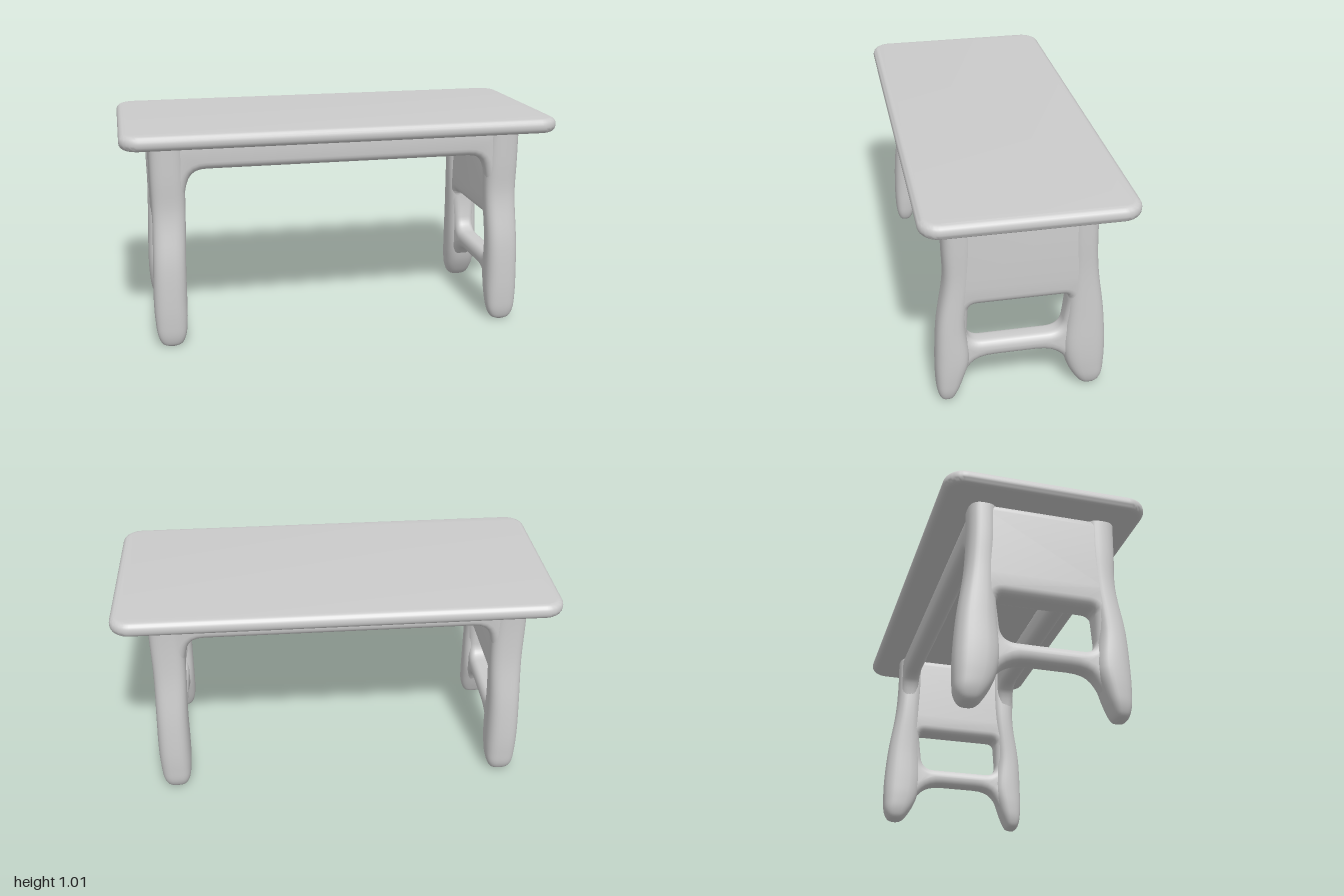
import * as THREE from 'three';
import { toCreasedNormals } from 'three/addons/utils/BufferGeometryUtils.js';

const material = new THREE.MeshStandardMaterial({ color: 0xcccccc });

function part(name, geometry) {
  const mesh = new THREE.Mesh(geometry, material);
  mesh.name = name;
  return mesh;
}

// Rounded slab: outline extruded to a full thickness, centred on z = 0
function slab(shape, thickness, bevel, curveSegments = 8) {
  const g = new THREE.ExtrudeGeometry(shape, {
    depth: thickness - 2 * bevel, bevelThickness: bevel, bevelSize: bevel,
    bevelOffset: -bevel, bevelSegments: 5, curveSegments,
  });
  return g.translate(0, 0, bevel - thickness / 2);
}

function roundedRect(w, h, r, Type = THREE.Shape, cx = 0, cy = 0) {
  const s = new Type(), x = w / 2, y = h / 2;
  s.absarc(cx + x - r, cy + y - r, r, 0, Math.PI / 2);
  s.absarc(cx - x + r, cy + y - r, r, Math.PI / 2, Math.PI);
  s.absarc(cx - x + r, cy - y + r, r, Math.PI, Math.PI * 1.5);
  s.absarc(cx + x - r, cy - y + r, r, Math.PI * 1.5, Math.PI * 2);
  s.closePath();
  return s;
}

// Leg lofted through rounded sections: [y, zOuter, zInner, x, halfWidth]
function legGeometry(rows) {
  const curve = (k) => new THREE.CatmullRomCurve3(
    rows.map((r) => new THREE.Vector3(r[0], r[k], r[k + 1])), false, 'centripetal');
  const depth = curve(1), width = curve(3);
  const steps = 40, sides = 32, pos = [], index = [];
  const pow = (v) => Math.sign(v) * Math.abs(v) ** 0.72;
  for (let i = 0; i <= steps; i++) {
    const a = depth.getPoint(i / steps), b = width.getPoint(i / steps);
    for (let j = 0; j < sides; j++) {
      const t = (j / sides) * Math.PI * 2;
      pos.push(b.y + b.z * pow(Math.cos(t)), a.x,
        (a.y + a.z) / 2 + Math.abs(a.y - a.z) / 2 * pow(Math.sin(t)));
    }
  }
  for (let i = 0; i < steps; i++) {
    for (let j = 0; j < sides; j++) {
      const p = i * sides + j, q = i * sides + (j + 1) % sides;
      index.push(p, p + sides, q, q, p + sides, q + sides);
    }
  }
  // Close the foot with a fan
  const last = rows[0];
  pos.push(last[3], last[0], (last[1] + last[2]) / 2);
  for (let j = 0; j < sides; j++) index.push(pos.length / 3 - 1, j, (j + 1) % sides);
  const g = new THREE.BufferGeometry();
  g.setAttribute('position', new THREE.Float32BufferAttribute(pos, 3));
  g.setIndex(index);
  g.computeVertexNormals();
  return g;
}

// End panel with a window, a stretcher below it and a curved lower arch
function endPanelGeometry() {
  const s = new THREE.Shape();
  s.moveTo(0.32, 0.95);
  s.lineTo(-0.295, 0.95);
  s.lineTo(-0.295, 0.6);
  s.lineTo(-0.30, 0.08);
  s.lineTo(-0.25, 0.08);
  s.bezierCurveTo(-0.19, 0.16, -0.17, 0.215, -0.06, 0.215);
  s.lineTo(0.12, 0.215);
  s.bezierCurveTo(0.23, 0.215, 0.235, 0.17, 0.285, 0.08);
  s.lineTo(0.32, 0.08);
  s.lineTo(0.32, 0.6);
  s.closePath();
  const w = new THREE.Path();
  w.moveTo(0.20, 0.505);
  w.lineTo(-0.17, 0.505);
  w.quadraticCurveTo(-0.20, 0.505, -0.20, 0.475);
  w.lineTo(-0.185, 0.36);
  w.quadraticCurveTo(-0.175, 0.298, -0.11, 0.298);
  w.lineTo(0.18, 0.298);
  w.quadraticCurveTo(0.24, 0.298, 0.245, 0.36);
  w.lineTo(0.24, 0.47);
  w.quadraticCurveTo(0.24, 0.505, 0.20, 0.505);
  s.holes.push(w);
  const g = slab(s, 0.13, 0.04).rotateY(-Math.PI / 2);
  // The stretcher is slimmer than the panel above
  const p = g.attributes.position;
  for (let i = 0; i < p.count; i++) {
    const k = THREE.MathUtils.smoothstep(p.getY(i), 0.3, 0.48);
    p.setX(i, p.getX(i) * (0.75 + 0.25 * k));
  }
  return toCreasedNormals(g, 0.8);
}

// Long rail that curves down into the legs at both ends
function apronGeometry() {
  const s = new THREE.Shape();
  s.moveTo(0.80, 0.95);
  s.lineTo(-0.80, 0.95);
  s.lineTo(-0.80, 0.62);
  s.lineTo(-0.735, 0.62);
  s.bezierCurveTo(-0.715, 0.77, -0.71, 0.82, -0.62, 0.82);
  s.lineTo(0.60, 0.82);
  s.bezierCurveTo(0.69, 0.82, 0.69, 0.77, 0.715, 0.62);
  s.lineTo(0.80, 0.62);
  s.closePath();
  return toCreasedNormals(slab(s, 0.09, 0.035), 0.8);
}

export function createModel() {
  const group = new THREE.Group();

  const top = slab(roundedRect(2, 0.91, 0.09), 0.067, 0.03).rotateX(-Math.PI / 2);
  group.add(part('tabletop', toCreasedNormals(top.translate(0, 0.972, 0), 0.8)));

  // Foot to top: y, outer z, inner z, outward x shift, half width
  const front = [
    [0, 0.355, 0.325, 0.012, 0.02], [0.012, 0.368, 0.307, 0.012, 0.046],
    [0.05, 0.38, 0.288, 0.012, 0.064], [0.12, 0.385, 0.262, 0.012, 0.073],
    [0.22, 0.385, 0.235, 0.012, 0.076], [0.4, 0.375, 0.25, 0.008, 0.074],
    [0.62, 0.342, 0.225, 0, 0.075], [0.78, 0.345, 0.215, 0, 0.077],
    [0.95, 0.348, 0.215, 0, 0.077]];
  const back = [
    [0, -0.325, -0.295, 0.012, 0.02], [0.012, -0.35, -0.27, 0.012, 0.046],
    [0.05, -0.37, -0.24, 0.012, 0.064], [0.12, -0.376, -0.205, 0.012, 0.073],
    [0.22, -0.376, -0.185, 0.012, 0.076], [0.4, -0.362, -0.195, 0.008, 0.074],
    [0.62, -0.33, -0.20, 0, 0.075], [0.78, -0.32, -0.195, 0, 0.077],
    [0.95, -0.32, -0.195, 0, 0.077]];

  for (const [side, sign, x] of [['left', 1, 0.775], ['right', -1, 0.796]]) {
    const place = (rows) => rows.map(([y, zo, zi, dx, h]) => [y, zo, zi, sign * (x + dx), h]);
    group.add(part(side + 'FrontLeg', legGeometry(place(front))));
    group.add(part(side + 'BackLeg', legGeometry(place(back))));
    const panel = part(side + 'EndPanel', endPanelGeometry());
    panel.position.x = sign * (x + 0.005);
    group.add(panel);
  }

  for (const [side, z] of [['front', 0.288], ['back', -0.265]]) {
    const apron = part(side + 'Apron', apronGeometry());
    apron.position.z = z;
    group.add(apron);
  }
  return group;
}
